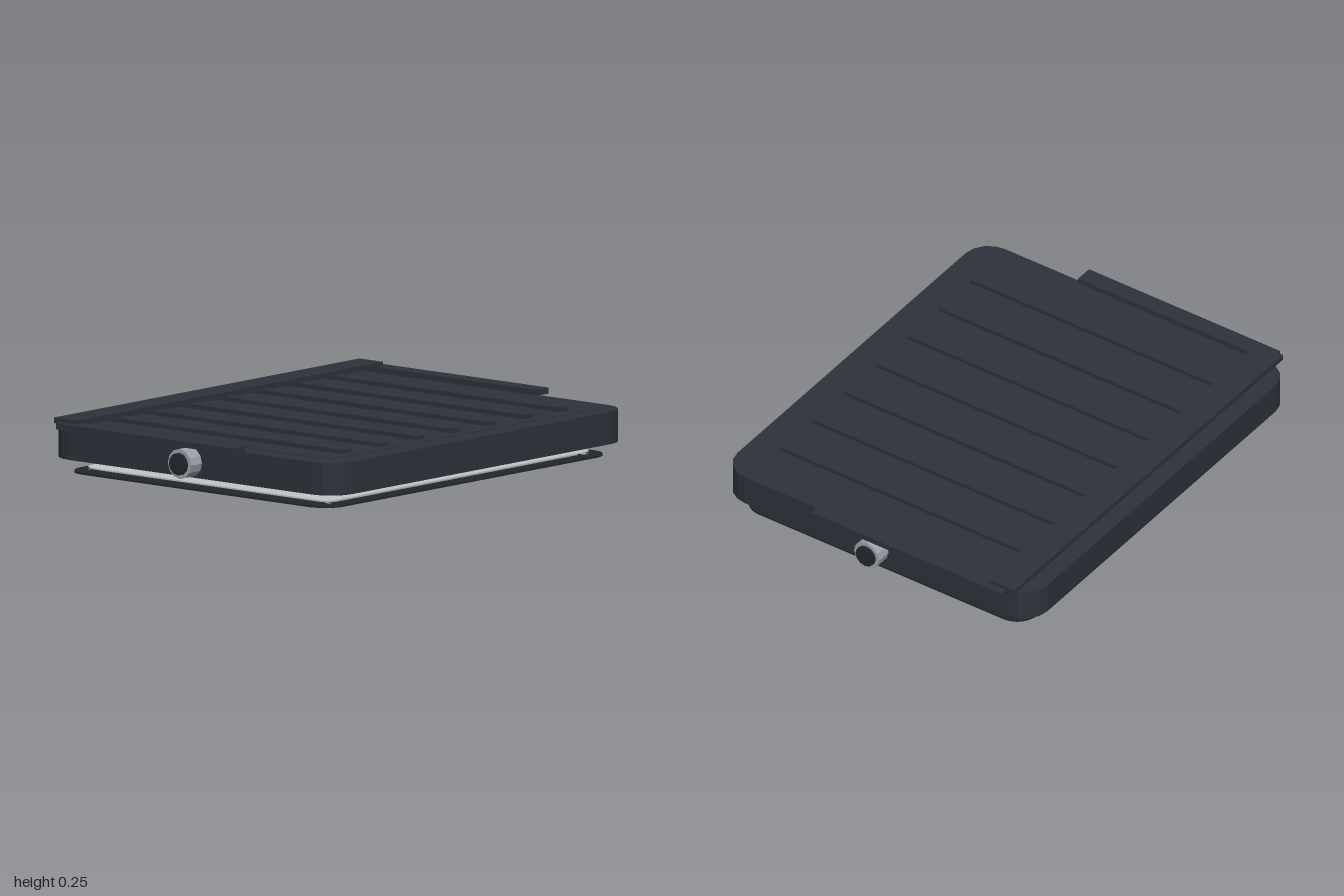
import * as THREE from 'three';

const mat = (color) => new THREE.MeshStandardMaterial({ color, flatShading: true });
const dark = mat(0x2d323a);
const black = mat(0x23272d);
const metal = mat(0x9aa3ab);
const pale = mat(0xc0c6c8);
const brass = mat(0xc9a227);

// rounded rectangle outline, half sizes hx and hz
function roundRect(path, hx, hz, r) {
  path.moveTo(-hx + r, -hz);
  path.lineTo(hx - r, -hz);
  path.absarc(hx - r, -hz + r, r, -Math.PI / 2, 0);
  path.lineTo(hx, hz - r);
  path.absarc(hx - r, hz - r, r, 0, Math.PI / 2);
  path.lineTo(-hx + r, hz);
  path.absarc(-hx + r, hz - r, r, Math.PI / 2, Math.PI);
  path.lineTo(-hx, -hz + r);
  path.absarc(-hx + r, -hz + r, r, Math.PI, Math.PI * 1.5);
  return path;
}

export function createModel() {
  const group = new THREE.Group();

  const add = (name, geometry, material, x = 0, y = 0, z = 0) => {
    const mesh = new THREE.Mesh(geometry, material);
    mesh.name = name;
    mesh.position.set(x, y, z);
    group.add(mesh);
    return mesh;
  };

  // flat slab with rounded corners between heights y0 and y1
  const slab = (name, material, hx, hz, r, y0, y1, { z = 0, segments = 2, hole } = {}) => {
    const shape = roundRect(new THREE.Shape(), hx, hz, r);
    if (hole) shape.holes.push(roundRect(new THREE.Path(), ...hole));
    const geometry = new THREE.ExtrudeGeometry(shape, {
      depth: y1 - y0, bevelEnabled: false, curveSegments: segments,
    }).rotateX(-Math.PI / 2);
    return add(name, geometry, material, 0, y0, z);
  };

  const box = (name, material, x0, x1, y0, y1, z0, z1) =>
    add(name, new THREE.BoxGeometry(x1 - x0, y1 - y0, z1 - z0), material,
      (x0 + x1) / 2, (y0 + y1) / 2, (z0 + z1) / 2);

  // main housing and its top panel
  slab('housing', dark, 0.92, 0.765, 0.115, 0.077, 0.21);
  slab('topPanel', dark, 0.83, 0.675, 0.1, 0.209, 0.213);

  // seven ribs running front to back
  for (let i = -3; i <= 3; i++) {
    const x = i * 0.225 - 0.004;
    box('rib', dark, x - 0.027, x + 0.027, 0.208, 0.231, -0.63, 0.63);
  }

  // rear crossbar
  box('rearBar', dark, -0.95, 0.95, 0.226, 0.249, -0.703, -0.578);

  for (const s of [-1, 1]) {
    // side rail
    box('sideRail', dark, s * 0.943 - 0.038, s * 0.943 + 0.038, 0.208, 0.233, -0.665, 0.278);

    // side knob: metal collar with a dark core
    const collar = add('knobCollar', new THREE.CylinderGeometry(0.062, 0.062, 0.085, 12), metal, s * 0.945, 0.14, 0);
    collar.rotation.z = Math.PI / 2;
    const core = add('knobCore', new THREE.CylinderGeometry(0.046, 0.046, 0.04, 12), black, s * 0.98, 0.14, 0);
    core.rotation.z = Math.PI / 2;

    // feet
    for (const t of [-1, 1]) {
      add('foot', new THREE.CylinderGeometry(0.018, 0.018, 0.024, 12), metal, s * 0.793, 0.012, t * 0.63);
    }
  }

  // stacked layers below the housing
  slab('upperPlate', metal, 0.785, 0.622, 0.06, 0.06, 0.07);
  slab('diffuserSheet', pale, 0.83, 0.655, 0.06, 0.033, 0.038);
  slab('tray', black, 0.75, 0.14, 0.05, 0.025, 0.032, { z: -0.515, segments: 4 });
  slab('bottomFrame', black, 0.885, 0.703, 0.1, 0.016, 0.024, { segments: 4, hole: [0.795, 0.633, 0.05] });

  // contacts under the upper plate
  for (const x of [-0.39, -0.13, 0.13, 0.39]) {
    for (const z of [-0.25, 0, 0.25]) {
      add('contact', new THREE.CylinderGeometry(0.02, 0.02, 0.006, 10), brass, x, 0.058, z);
    }
  }

  return group;
}
